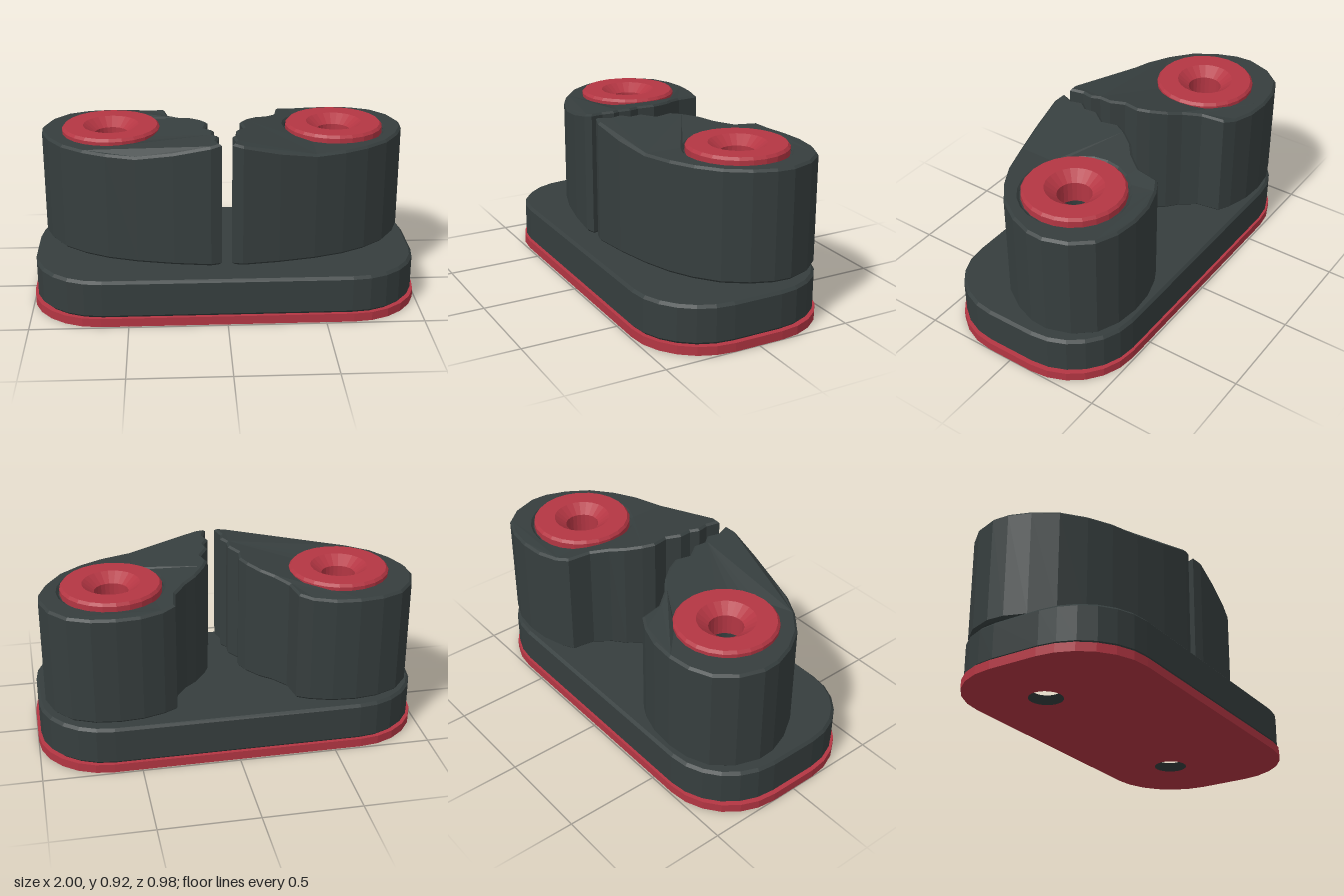
import * as THREE from 'three';

const HUB_X = 0.585, HUB_Z = -0.115, BORE = 0.087;

// Outline of the left-hand cam seen from above, as [x, z]
const CAM = [
  // smooth outer curve, from the tip round to the back
  [-0.025, 0.37], [-0.08, 0.385], [-0.265, 0.36], [-0.45, 0.32], [-0.6, 0.27], [-0.72, 0.205],
  [-0.83, 0.115], [-0.905, 0], [-0.945, -0.11], [-0.95, -0.2], [-0.91, -0.32], [-0.83, -0.415],
  [-0.72, -0.462], [-0.6, -0.477], [-0.48, -0.468], [-0.37, -0.435], [-0.305, -0.4],
  // toothed gripping face
  [-0.285, -0.28], [-0.225, -0.2], [-0.165, -0.15], [-0.11, -0.075], [-0.082, -0.015],
  [-0.098, 0.07], [-0.055, 0.135], [-0.06, 0.2], [-0.033, 0.24], [-0.047, 0.3],
];

// Horizontal slab with holes and chamfered rims, from y0 to y1
function slab(points, holes, y0, y1, bevel) {
  const shape = new THREE.Shape(points.map(([x, z]) => new THREE.Vector2(x, -z)));
  for (const [x, z, r] of holes) {
    shape.holes.push(new THREE.Path().absarc(x, -z, r, 0, Math.PI * 2, true));
  }
  const geo = new THREE.ExtrudeGeometry(shape, {
    depth: y1 - y0 - 2 * bevel, curveSegments: 12, bevelEnabled: bevel > 0,
    bevelThickness: bevel, bevelSize: bevel, bevelOffset: -bevel, bevelSegments: 1,
  });
  return geo.rotateX(-Math.PI / 2).translate(0, y0 + bevel, 0);
}

// Rectangle with rounded corners, as [x, z] points
function roundedOutline(hx, hz, r, steps = 6) {
  const pts = [];
  [[1, 1], [-1, 1], [-1, -1], [1, -1]].forEach(([sx, sz], q) => {
    for (let i = 0; i <= steps; i++) {
      const a = (q + i / steps) * Math.PI / 2;
      pts.push([sx * (hx - r) + r * Math.cos(a), sz * (hz - r) + r * Math.sin(a)]);
    }
  });
  return pts;
}

// Faceted ring turned about the hub axis
function turned(profile) {
  const geo = new THREE.LatheGeometry(profile.map(([r, y]) => new THREE.Vector2(r, y)), 24).toNonIndexed();
  geo.computeVertexNormals();
  return geo;
}

// Cam whose top climbs towards the gripping tip
function camGeometry(side) {
  const geo = slab(CAM.map(([x, z]) => [-side * x, z]), [[side * HUB_X, HUB_Z, 0.262]], 0.275, 0.84, 0.012);
  const pos = geo.attributes.position;
  for (let i = 0; i < pos.count; i++) {
    if (pos.getY(i) < 0.6) continue;
    const t = Math.max(0, (0.4 - Math.abs(pos.getX(i))) / 0.37);
    pos.setY(i, pos.getY(i) + 0.082 * t);
  }
  geo.computeVertexNormals();
  return geo;
}

export function createModel() {
  const group = new THREE.Group();
  const dark = new THREE.MeshStandardMaterial({ color: 0x363e3e });
  dark.name = 'charcoal';
  const red = new THREE.MeshStandardMaterial({ color: 0xb43643 });
  red.name = 'red';

  const add = (name, geo, mat, parent = group) => {
    const mesh = new THREE.Mesh(geo, mat);
    mesh.name = name;
    parent.add(mesh);
    return mesh;
  };

  // Base
  const bores = [-1, 1].map((s) => [s * HUB_X, HUB_Z, BORE]);
  add('basePlate', slab(roundedOutline(1, 0.49, 0.36), bores, 0, 0.045, 0), red);
  add('baseBody', slab(roundedOutline(0.985, 0.484, 0.355), bores, 0.045, 0.245, 0.014), dark);

  // Cams with their hubs and caps
  for (const side of [-1, 1]) {
    const unit = new THREE.Group();
    unit.name = side > 0 ? 'leftCamUnit' : 'rightCamUnit';
    group.add(unit);
    add('cam', camGeometry(side), dark, unit);

    // hub: spacer below, wider sleeve inside the cam, bore through the middle
    const hub = add('hub', turned([
      [BORE, 0.235], [0.225, 0.235], [0.225, 0.29], [0.262, 0.29],
      [0.262, 0.825], [BORE, 0.825], [BORE, 0.235],
    ]), dark, unit);
    hub.position.set(side * HUB_X, 0, HUB_Z);

    // countersunk cap ring
    const cap = add('capRing', turned([
      [0.255, 0.822], [0.255, 0.858], [0.243, 0.872], [0.145, 0.872],
      [BORE - 0.001, 0.827], [BORE - 0.001, 0.72],
    ]), red, unit);
    cap.position.copy(hub.position);
  }
  return group;
}
